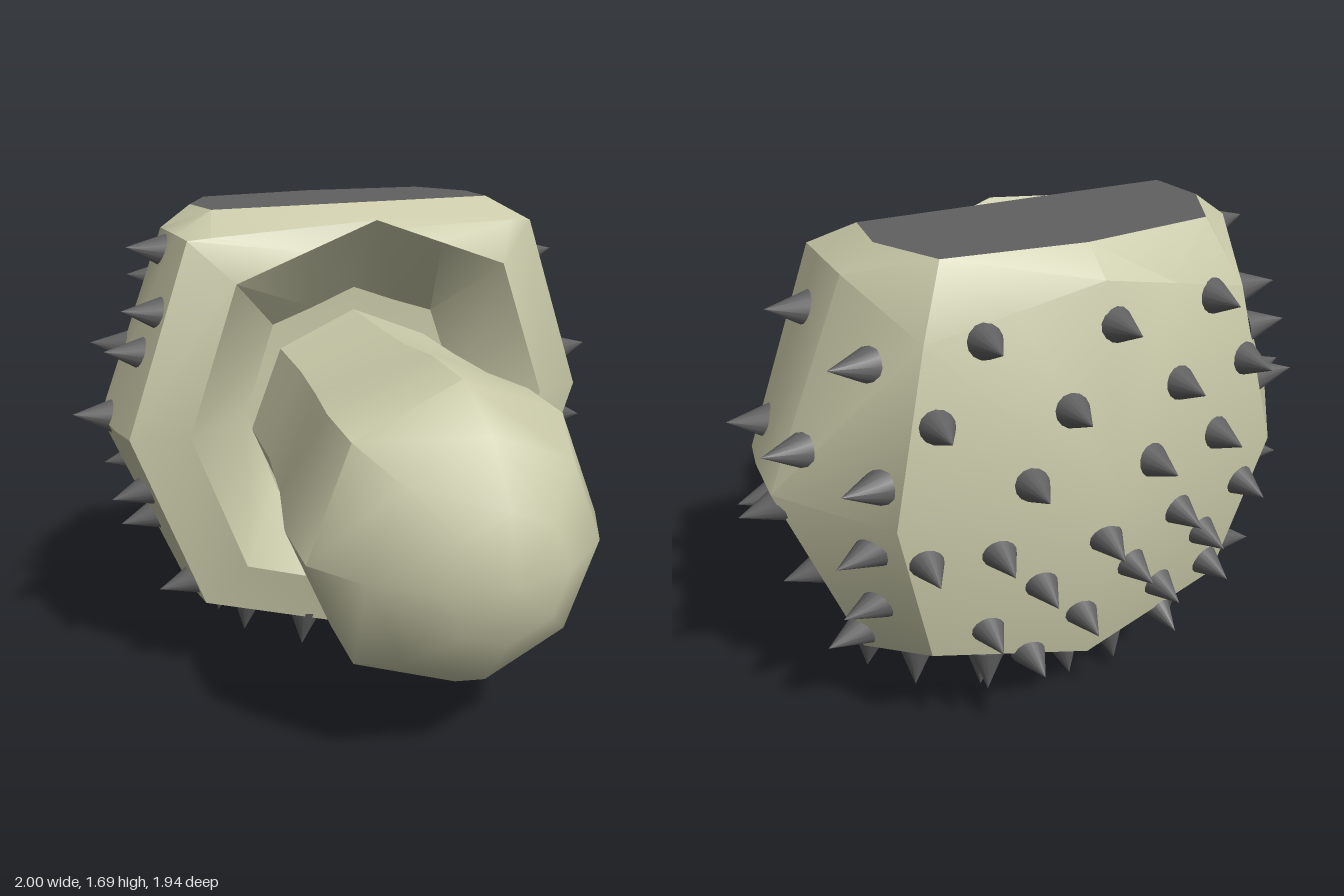
import * as THREE from 'three';
import { toCreasedNormals } from 'three/addons/utils/BufferGeometryUtils.js';

const mat = (name, color, side = THREE.FrontSide) => {
  const m = new THREE.MeshStandardMaterial({ color, side });
  m.name = name;
  return m;
};

// Skin a list of equal-length rings, front to back; keep(i, j) selects quads
function loft(rings, crease, keep = () => true) {
  const pos = [];
  const tri = (...p) => {
    const [a, b, c] = p.map((v) => new THREE.Vector3(...v));
    if (b.sub(a).cross(c.sub(a)).length() > 1e-6) p.forEach((v) => pos.push(...v));
  };
  for (let i = 0; i < rings.length - 1; i++) {
    const n = rings[i].length;
    for (let j = 0; j < n; j++) {
      if (!keep(i, j)) continue;
      const k = (j + 1) % n;
      const a = rings[i][j], b = rings[i][k], c = rings[i + 1][k], d = rings[i + 1][j];
      tri(a, d, c);
      tri(a, c, b);
    }
  }
  const g = new THREE.BufferGeometry();
  g.setAttribute('position', new THREE.Float32BufferAttribute(pos, 3));
  g.computeVertexNormals();
  return toCreasedNormals(g, crease);
}

// Ring of ten points from its right half (bottom to top), mirrored in x
const mirrorRing = (half) => [...half, ...half.slice(1, -1).reverse().map(([x, y, z]) => [-x, y, z])];
const CY = 0.98;

// r: axis radius, d: diagonal offset, z: depth, zd: depth of the diagonals
const shellRing = (r, d, z, zd, edge, top) => mirrorRing([
  [0, CY - r, z], [d, CY - d, zd], [r, CY, z], [d, CY + d, zd], edge, top,
]);

export function createModel() {
  const model = new THREE.Group();
  const skin = mat('pale olive', 0xc8c8a8);
  const dark = mat('dark grey', 0x606060);
  const add = (name, geo, material, parent = model) => {
    const m = new THREE.Mesh(geo, material);
    m.name = name;
    parent.add(m);
    return m;
  };

  // Shell: hollow front, straight octagonal band, domed back, top cut flat
  const rings = [
    shellRing(0, 0, -0.24, -0.24, [0, CY, -0.24], [0, CY, -0.24]),
    shellRing(0.42, 0.31, -0.22, -0.22, [0.16, 1.34, -0.22], [0, 1.4, -0.22]),
    shellRing(0.68, 0.5, -0.02, -0.02, [0.25, 1.57, -0.02], [0, 1.66, -0.02]),
    shellRing(0.87, 0.64, -0.08, -0.08, [0.56, 1.625, -0.08], [0, 1.62, -0.08]),
    shellRing(0.89, 0.645, -0.2, -0.2, [0.52, 1.7, -0.2], [0, 1.7, -0.2]),
    shellRing(0.9, 0.645, -0.4, -0.4, [0.54, 1.7, -0.39], [0, 1.7, -0.39]),
    shellRing(0.64, 0.52, -0.75, -0.69, [0.43, 1.7, -0.6], [0, 1.7, -0.65]),
    shellRing(0.64, 0.52, -0.75, -0.69, [0.26, 1.56, -0.72], [0, 1.62, -0.75]),
    shellRing(0, 0, -0.89, -0.89, [0, CY, -0.89], [0, CY, -0.89]),
  ];
  const isCap = (i, j) => (i === 4 || i === 5) && (j === 4 || j === 5);
  const shell = add('shell', loft(rings, 0.56, (i, j) => !isCap(i, j)), skin);
  add('topPlate', loft(rings, 0.56, isCap), dark);

  // Neck and rounded head: [z, centre height, radius]
  const sections = [
    [0.96, 0.73, 0], [0.92, 0.73, 0.21], [0.79, 0.74, 0.4], [0.6, 0.745, 0.515],
    [0.4, 0.78, 0.508], [0.2, 0.83, 0.45], [0, 0.88, 0.415], [-0.24, 0.92, 0.4],
  ];
  const headRings = sections.map(([z, cy, r]) => Array.from({ length: 8 }, (_, k) => {
    const a = (k / 8) * Math.PI * 2;
    return [Math.sin(a) * r, cy - Math.cos(a) * r, z];
  }));
  add('neckAndHead', loft(headRings, 0.74), skin);

  // Spikes: cast onto the shell, then tilted partly towards the surface normal
  const spikes = new THREE.Group();
  spikes.name = 'spikes';
  model.add(spikes);
  const cone = new THREE.ConeGeometry(0.06, 0.14, 14);
  cone.translate(0, 0.05, 0);
  const up = new THREE.Vector3(0, 1, 0);
  const ray = new THREE.Raycaster();
  const spike = (name, origin, dir) => {
    ray.set(new THREE.Vector3(...origin), new THREE.Vector3(...dir));
    const hit = ray.intersectObject(shell)[0];
    if (!hit) return;
    const axis = hit.face.normal.clone().multiplyScalar(0.7).sub(ray.ray.direction).normalize();
    const s = add(name, cone, dark, spikes);
    s.position.copy(hit.point);
    s.quaternion.setFromUnitVectors(up, axis);
  };

  // Flanks, as [z, y]
  const left = [[-0.22, 1.47], [-0.55, 1.41], [-0.16, 1.1], [-0.44, 1.13], [-0.67, 1.09], [-0.16, 0.84],
    [-0.36, 0.92], [-0.63, 0.86], [-0.2, 0.54], [-0.55, 0.61], [-0.42, 0.42]];
  const right = [[-0.31, 1.56], [-0.15, 1.38], [-0.55, 1.43], [-0.2, 1.24], [-0.42, 1.22], [-0.65, 1.16],
    [-0.33, 1.0], [-0.19, 0.76], [-0.5, 0.78], [-0.35, 0.6], [-0.15, 0.41], [-0.6, 0.52]];
  left.forEach(([z, y]) => spike('leftSpike', [3, y, z], [-1, 0, 0]));
  right.forEach(([z, y]) => spike('rightSpike', [-3, y, z], [1, 0, 0]));

  // Back, as rows of [y, x...]
  const back = [[1.49, -0.4, -0.03, 0.35], [1.27, -0.53, -0.25, 0.12, 0.5], [1.07, -0.4, -0.13, 0.25],
    [0.85, -0.54, -0.26, 0.02, 0.34, 0.55], [0.7, -0.4, -0.1, 0.2], [0.54, -0.46, -0.25, 0.05, 0.35],
    [0.39, -0.3, 0.2]];
  back.forEach(([y, ...xs]) => xs.forEach((x) => spike('backSpike', [x, y, -3], [0, 0, 1])));

  // Underside, as [x, z]
  const under = [[0.1, -0.27], [0.22, -0.14], [0.25, -0.47], [0.38, -0.3], [0.5, -0.5], [0.56, -0.16],
    [0.6, -0.34], [0.3, -0.62], [-0.05, -0.5], [-0.18, -0.25], [-0.25, -0.13], [-0.27, -0.42],
    [-0.45, -0.2], [-0.5, -0.36], [-0.44, -0.54], [-0.14, -0.64]];
  under.forEach(([x, z]) => spike('undersideSpike', [x, -2, z], [0, 1, 0]));

  return model;
}
